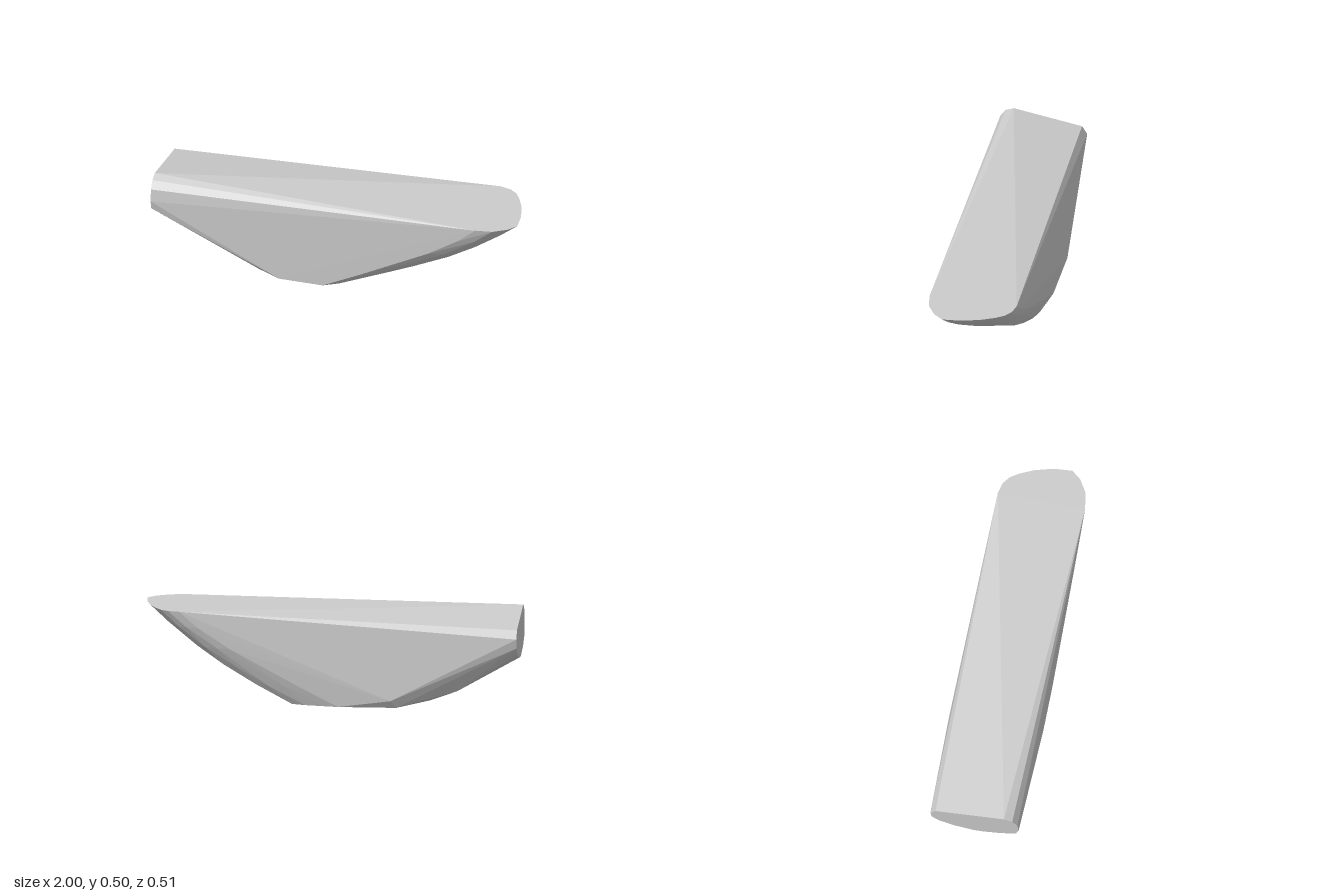
import * as THREE from 'three';
import { ConvexGeometry } from 'three/addons/geometries/ConvexGeometry.js';

const lerp = THREE.MathUtils.lerp;

export function createModel() {
  const group = new THREE.Group();
  const points = [];
  const add = (x, y, z) => points.push(new THREE.Vector3(x, y, z));

  // Rounded prow: [height, where the curve starts, furthest x]
  const levels = [
    [0, -0.05, 0.2], [0.1, 0.15, 0.41], [0.2, 0.33, 0.6],
    [0.3, 0.53, 0.755], [0.41, 0.7, 0.9], [0.495, 0.8, 1],
  ];
  // Outline at the bottom and the top: [fraction of the way forward, z]
  const low = [[0, 0.245], [0.32, 0.2], [0.6, 0.14], [1, 0.05], [1, -0.03],
    [1, -0.1], [1, -0.18], [0.72, -0.205], [0.32, -0.225], [0, -0.24]];
  const high = [[0, 0.257], [0.45, 0.243], [0.8, 0.2], [1, 0.15], [0.96, 0.05],
    [0.82, -0.05], [0.66, -0.12], [0.5, -0.17], [0.3, -0.2], [0, -0.215]];
  for (const [y, start, end] of levels) {
    const t = y / 0.495;
    low.forEach(([f, z], i) => {
      add(lerp(start, end, lerp(f, high[i][0], t)), y, lerp(z, high[i][1], t));
    });
  }

  // Flat base towards the cut end
  for (const [x, z] of [[-0.29, 0.245], [-0.42, 0.18], [-0.52, 0.07], [-0.52, -0.02], [-0.36, -0.235]]) add(x, 0, z);

  // Bulges on the lower back corner
  add(-0.33, 0.04, -0.258);
  add(-0.68, 0.085, -0.18);

  // Cut end at x = -1: [y, z]
  const cap = [[0.49, 0.17], [0.472, 0.215], [0.43, 0.243], [0.36, 0.25], [0.31, 0.237],
    [0.27, 0.16], [0.245, 0.06], [0.24, 0], [0.258, -0.1], [0.29, -0.18],
    [0.33, -0.22], [0.38, -0.228], [0.425, -0.2]];
  for (const [y, z] of cap) add(-1, y, z);

  const hull = new THREE.Mesh(
    new ConvexGeometry(points),
    new THREE.MeshStandardMaterial({ color: 0xcccccc, flatShading: true })
  );
  hull.name = 'hull';
  group.add(hull);
  return group;
}
